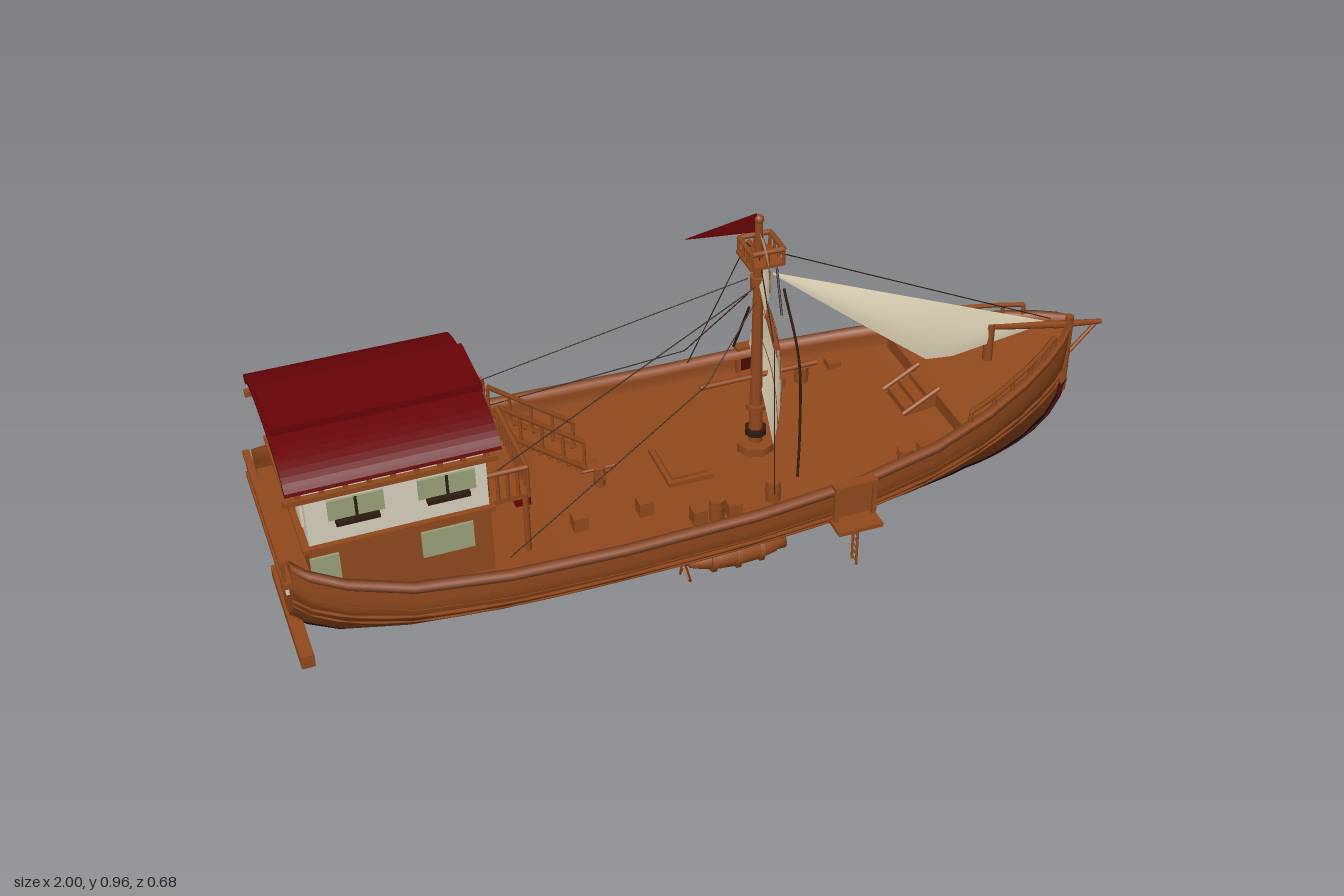
import * as THREE from 'three';

const mat = (name, color) => new THREE.MeshStandardMaterial({ name, color, side: THREE.DoubleSide });
const V = (x, y, z) => new THREE.Vector3(x, y, z);

// Hull stations: x, half width, keel height, rim height
const STATIONS = [
  [-0.98, 0.205, 0.2, 0.485], [-0.95, 0.23, 0.165, 0.47], [-0.88, 0.26, 0.13, 0.45], [-0.75, 0.29, 0.112, 0.425],
  [-0.55, 0.306, 0.103, 0.41], [-0.3, 0.308, 0.1, 0.402], [0, 0.3, 0.1, 0.4], [0.25, 0.284, 0.103, 0.41],
  [0.45, 0.25, 0.112, 0.425], [0.6, 0.205, 0.128, 0.445], [0.72, 0.153, 0.148, 0.465], [0.8, 0.108, 0.178, 0.48],
  [0.86, 0.066, 0.22, 0.492], [0.895, 0.033, 0.27, 0.5], [0.912, 0.006, 0.33, 0.505]];
// Cross-section from rim to keel: share of half width, share of height
const PROFILE = [[1, 1], [1, 0.88], [0.99, 0.77], [0.93, 0.7], [0.82, 0.58], [0.65, 0.41], [0.45, 0.25], [0.26, 0.125], [0.1, 0.03], [0, 0]];

function at(x) {
  let i = 0;
  while (i < STATIONS.length - 2 && STATIONS[i + 1][0] < x) i++;
  const a = STATIONS[i], b = STATIONS[i + 1];
  const t = THREE.MathUtils.clamp((x - a[0]) / (b[0] - a[0]), 0, 1);
  const [, w, k, r] = a.map((v, j) => v + (b[j] - v) * t);
  return { w, k, r };
}
// Half width of the hull at a given place and height
function hullZ(x, y) {
  const { w, k, r } = at(x), v = THREE.MathUtils.clamp((y - k) / (r - k), 0, 1);
  const i = PROFILE.findIndex((p, j) => j > 0 && p[1] <= v), [u0, v0] = PROFILE[i - 1], [u1, v1] = PROFILE[i];
  return w * (u1 + (u0 - u1) * (v - v1) / (v0 - v1));
}

// Surface through equal rows of points
function loft(rows) {
  const n = rows[0].length, index = [];
  for (let i = 0; i < rows.length - 1; i++) for (let j = 0; j < n - 1; j++) {
    const a = i * n + j, c = a + n;
    index.push(a, a + 1, c, a + 1, c + 1, c);
  }
  const g = new THREE.BufferGeometry().setFromPoints(rows.flat());
  g.setIndex(index);
  g.computeVertexNormals();
  return g;
}

export function createModel() {
  const wood = mat('brown wood', 0x92491d), red = mat('roof red', 0x690307), cream = mat('sail cream', 0xe3d7b9);
  const white = mat('plaster white', 0xdad3c0), glass = mat('window green', 0x9ca37c), dark = mat('dark brown', 0x2e1a10);
  const navy = mat('keel navy', 0x08081a), maroon = mat('dark red', 0x4c0a0c);
  const model = new THREE.Group();
  const add = (name, geo, m, parent = model) => {
    const o = new THREE.Mesh(geo, m);
    o.name = name;
    parent.add(o);
    return o;
  };
  const box = (name, m, x0, x1, y0, y1, z0, z1) => add(name, new THREE.BoxGeometry(x1 - x0, y1 - y0, z1 - z0), m)
    .position.set((x0 + x1) / 2, (y0 + y1) / 2, (z0 + z1) / 2);
  const rod = (name, m, a, b, r, r2 = r, p = model) => {
    const d = b.clone().sub(a), o = add(name, new THREE.CylinderGeometry(r2, r, d.length(), 8), m, p);
    o.position.copy(a).addScaledVector(d, 0.5);
    o.quaternion.setFromUnitVectors(V(0, 1, 0), d.normalize());
  };
  const tube = (name, m, pts, r, p) => add(name, new THREE.TubeGeometry(new THREE.CatmullRomCurve3(pts), 40, r, 5), m, p);

  // Hull, stern panel and decks
  const section = ([x, w, k, r]) => {
    const half = PROFILE.map(([u, v]) => V(x, k + v * (r - k), u * w));
    return [...half, ...half.slice(0, -1).reverse().map(p => V(p.x, p.y, -p.z))];
  };
  add('hull', loft(STATIONS.map(section)), wood);
  const stern = section(STATIONS[0]);
  add('sternPanel', loft([stern, stern.map(() => V(-0.98, 0.4, 0))]), wood);
  const deck = (x0, x1, drop) => {
    const xs = [x0, ...STATIONS.map(s => s[0]).filter(x => x > x0 && x < x1), x1];
    return loft(xs.map(x => { const { w, r } = at(x); return [V(x, r - drop, -w), V(x, r - drop, w)]; }));
  };
  add('mainDeck', deck(-0.98, 0.55, 0.06), wood);
  add('bowDeck', deck(0.55, 0.912, 0.025), wood);
  box('bowDeckStep', wood, 0.545, 0.555, 0.375, 0.413, -0.21, 0.21);
  for (const s of [1, -1]) {
    add('rimCap', loft(STATIONS.map(([x, w, , r]) => {
      const i = s * Math.max(0, w - 0.018), o = s * (w + 0.003);
      return [V(x, r - 0.015, i), V(x, r + 0.004, i), V(x, r + 0.004, o), V(x, r - 0.012, o), V(x, r - 0.015, i)];
    })), wood);
    for (const [y, rise, e] of [[0.33, 0.4, 0.005], [0.27, 0.7, 0.003]])
      tube('wale', wood, STATIONS.map(([x, , , r]) => { const h = y + rise * (r - 0.4); return V(x, h, s * hullZ(x, h)); }), e);
  }
  // Keel, stem and the dark bottom paint of the left side
  tube('keelStrip', maroon, STATIONS.map(([x, , k]) => V(x + 0.003, k, 0)), 0.011);
  add('bottomPaint', loft(STATIONS.map(([x, , k, r]) => {
    const top = 0.08 + 0.06 * THREE.MathUtils.smoothstep(x, -0.6, 0.7);
    return [1, 0.75, 0.5, 0.25, 0].map(f => {
      const y = k + f * top * (r - k);
      return V(x + 0.002, y - 0.004, hullZ(x, y) + 0.003);
    });
  })), navy);
  rod('stemPost', wood, V(0.913, 0.3, 0), V(0.913, 0.51, 0), 0.01);
  box('sternBoard', wood, -0.985, -0.955, 0.165, 0.198, -0.16, 0.16);
  rod('hawseHole', maroon, V(0.868, 0.37, -0.04), V(0.876, 0.371, -0.06), 0.009);

  // Stern gallery and windows
  box('sternGallery', wood, -1, -0.94, 0.425, 0.44, -0.2, 0.2);
  box('sternGalleryRail', wood, -1, -0.985, 0.485, 0.497, -0.2, 0.2);
  for (let i = 0; i <= 10; i++) box('galleryPost', wood, -0.997, -0.989, 0.44, 0.485, -0.196 + i * 0.038, -0.188 + i * 0.038);
  for (let i = 0; i < 5; i++) for (const y of [0.335, 0.373])
    box('sternWindow', white, -0.987, -0.98, y, y + 0.034, -0.112 + i * 0.046, -0.072 + i * 0.046);

  // Cabin
  box('lowerCabin', wood, -0.94, -0.56, 0.35, 0.515, -0.205, 0.205);
  box('upperCabin', white, -0.935, -0.56, 0.515, 0.67, -0.195, 0.195);
  box('cabinFloorBeam', wood, -0.95, -0.55, 0.508, 0.518, -0.208, 0.208);
  for (const s of [1, -1]) {
    const panel = (name, m, x0, x1, y0, y1, z, t = 0.006) => box(name, m, x0, x1, y0, y1, s * z - t / 2, s * z + t / 2);
    for (const [x0, x1] of [[-0.94, -0.88], [-0.71, -0.6]]) panel('lowerWindow', glass, x0, x1, 0.43, 0.495, 0.207);
    for (const [x0, x1] of [[-0.89, -0.775], [-0.705, -0.585]]) {
      const mid = (x0 + x1) / 2;
      panel('upperWindow', glass, x0, x1, 0.573, 0.622, 0.197);
      panel('windowBar', dark, mid - 0.003, mid + 0.003, 0.573, 0.622, 0.199);
      panel('flowerBox', dark, mid - 0.045, mid + 0.045, 0.564, 0.574, 0.204, 0.016);
    }
    box('eaveBeam', wood, -0.975, -0.535, 0.636, 0.648, s * 0.2 - 0.008, s * 0.2 + 0.008);
    for (let i = 0; i < 9; i++) box('eaveBlock', wood, -0.95 + i * 0.048, -0.94 + i * 0.048, 0.655, 0.67, s * 0.203 - 0.01, s * 0.203 + 0.01);
  }
  // Arched roof and gable ends
  const arch = (w, y, h) => Array.from({ length: 25 }, (_, i) => {
    const a = Math.PI * i / 24;
    return new THREE.Vector2(-w * Math.cos(a), y + h * Math.sin(a));
  });
  const along = (name, pts, m, x0, x1) => add(name, new THREE.ExtrudeGeometry(new THREE.Shape(pts), { depth: x1 - x0, bevelEnabled: false })
    .rotateY(Math.PI / 2).translate(x0, 0, 0), m);
  along('gable', arch(0.195, 0.665, 0.05), white, -0.935, -0.56);
  along('roof', [...arch(0.217, 0.668, 0.058), ...arch(0.2, 0.664, 0.045).reverse()], red, -0.97, -0.53);
  box('roofRidge', red, -0.965, -0.527, 0.718, 0.737, -0.08, 0.08);
  // Cabin ends: doors and windows
  box('cabinDoor', wood, -0.562, -0.555, 0.52, 0.635, -0.03, 0.04);
  box('lowerDoor', wood, -0.562, -0.552, 0.36, 0.49, 0.02, 0.08);
  for (const z of [-0.15, 0.08]) {
    box('frontWindowFrame', wood, -0.562, -0.556, 0.565, 0.628, z - 0.004, z + 0.064);
    box('frontWindow', glass, -0.558, -0.553, 0.57, 0.623, z, z + 0.06);
  }
  for (let i = 0; i < 5; i++) box('rearShutter', cream, -0.941, -0.933, 0.55, 0.632, -0.17 + i * 0.07, -0.11 + i * 0.07);

  // Balcony, railing and stairs
  box('balcony', wood, -0.56, -0.465, 0.49, 0.503, -0.17, 0.17);
  const rail = (name, a, b, n, h) => {
    const up = V(0, h, 0);
    rod(name, wood, a.clone().add(up), b.clone().add(up), 0.006);
    for (let i = 0; i <= n; i++) {
      const p = a.clone().lerp(b, i / n);
      rod(name + 'Post', wood, p, p.clone().add(up), 0.004);
    }
  };
  rail('balconyRail', V(-0.468, 0.5, -0.055), V(-0.468, 0.5, 0.168), 9, 0.07);
  for (const z of [-0.168, 0.168]) rail('balconySideRail', V(-0.555, 0.5, z), V(-0.468, 0.5, z), 4, 0.07);
  for (const z of [-0.165, 0.165]) rod('balconyLeg', wood, V(-0.475, 0.34, z), V(-0.475, 0.5, z), 0.007);
  for (const z of [-0.14, -0.06]) {
    rod('stairSide', wood, V(-0.465, 0.497, z), V(-0.27, 0.345, z), 0.007);
    rail('stairRail', V(-0.465, 0.497, z), V(-0.275, 0.35, z), 4, 0.07);
  }
  for (let i = 0; i < 9; i++) box('stairStep', wood, -0.465 + i * 0.0215, -0.44 + i * 0.0215, 0.476 - i * 0.0166, 0.482 - i * 0.0166, -0.14, -0.06);
  box('chest', red, -0.46, -0.425, 0.345, 0.37, -0.02, 0.02);

  // Bow stairs, rails and bowsprit
  for (let i = 0; i < 3; i++) box('bowStep', wood, 0.47 + i * 0.027, 0.5 + i * 0.027, 0.36, 0.385 + i * 0.014, -0.05, 0.05);
  for (const z of [-0.053, 0.053]) rod('bowStepSide', wood, V(0.46, 0.38, z), V(0.55, 0.43, z), 0.006);
  for (const s of [1, -1]) {
    const xs = [0.55, 0.62, 0.68, 0.74, 0.79, 0.83], top = xs.map(x => V(x, at(x).r + 0.03, s * (at(x).w - 0.012)));
    tube('bowRail', wood, top, 0.006);
    for (const p of top) rod('bowRailPost', wood, V(p.x, p.y - 0.03, p.z), p, 0.005);
  }
  rod('bowsprit', wood, V(0.69, 0.535, 0), V(0.9, 0.49, 0), 0.01, 0.009);
  rod('bowspritTip', wood, V(0.87, 0.495, 0), V(1, 0.474, 0), 0.01, 0.006);
  rod('bowspritBrace', wood, V(0.915, 0.4, 0), V(0.985, 0.472, 0), 0.005);
  rod('bowPost', wood, V(0.7, 0.44, 0), V(0.7, 0.54, 0), 0.012);

  // Side gates, platforms and ladders
  for (const s of [1, -1]) {
    const side = (name, m, x0, x1, y0, y1, a, b) => box(name, m, x0, x1, y0, y1, Math.min(s * a, s * b), Math.max(s * a, s * b));
    side('gate', s > 0 ? wood : maroon, 0.188, 0.272, 0.333, 0.415, 0.284, 0.293);
    for (const x of [0.18, 0.27]) side('gatePost', wood, x, x + 0.01, 0.325, 0.42, 0.275, 0.3);
    side('gateTop', wood, 0.18, 0.28, 0.412, 0.42, 0.275, 0.3);
    side('platform', wood, 0.175, 0.28, 0.318, 0.328, 0.265, 0.338);
    for (const z of [0.293, 0.316]) rod('ladderSide', wood, V(0.23, 0.207, s * z), V(0.23, 0.325, s * z), 0.003);
    for (let i = 0; i < 6; i++) rod('ladderRung', wood, V(0.23, 0.217 + i * 0.018, s * 0.293), V(0.23, 0.217 + i * 0.018, s * 0.316), 0.002);
  }

  // Mast, lookout and flag
  rod('mast', wood, V(0.115, 0.33, 0), V(0.115, 0.94, 0), 0.018, 0.009);
  for (const [y, r, h, m] of [[0.34, 0.045, 0.025, wood], [0.385, 0.026, 0.015, dark], [0.455, 0.024, 0.012, wood], [0.775, 0.019, 0.03, wood]])
    rod('mastRing', m, V(0.115, y, 0), V(0.115, y + h, 0), r);
  add('mastBall', new THREE.SphereGeometry(0.011, 12, 8), wood).position.set(0.115, 0.946, 0);
  box('lookoutFloor', wood, 0.08, 0.16, 0.846, 0.853, -0.042, 0.042);
  for (const z of [-0.038, 0.038]) rail('lookoutRail', V(0.085, 0.85, z), V(0.157, 0.85, z), 2, 0.035);
  for (const x of [0.085, 0.157]) rail('lookoutEndRail', V(x, 0.85, -0.038), V(x, 0.85, 0.038), 3, 0.035);
  add('flag', loft([[V(0.11, 0.915, 0), V(0.11, 0.962, 0)], [V(-0.055, 0.938, 0.01), V(-0.055, 0.94, 0.01)]]), red);

  // Square sails, turned with their yards
  const rig = new THREE.Group();
  rig.name = 'squareRig';
  rig.position.x = 0.115;
  rig.rotation.y = -0.25;
  model.add(rig);
  const sail = (name, x, y0, y1, w0, w1, bulge, bands) => {
    const p = (u, v) => V(x + bulge * Math.sin(Math.PI * v) * (1 - u * u * 0.6), y0 + (y1 - y0) * v + (1 - v) * 0.015 * (1 - u * u), u * (w0 + (w1 - w0) * v));
    const us = Array.from({ length: 17 }, (_, i) => i / 8 - 1);
    add(name, loft(Array.from({ length: 13 }, (_, i) => us.map(u => p(u, i / 12)))), cream, rig);
    for (const v of bands) tube(name + 'Band', wood, us.map(u => p(u, v)), 0.0015, rig);
  };
  sail('mainSail', 0.01, 0.495, 0.745, 0.195, 0.193, 0.035, [0.22, 0.45, 0.69, 0.91]);
  sail('topSail', 0, 0.775, 0.918, 0.109, 0.135, 0.018, [0.15, 0.45, 0.72]);
  rod('mainYard', wood, V(0.01, 0.76, -0.212), V(0.01, 0.76, 0.212), 0.007, 0.007, rig);
  rod('boom', wood, V(-0.02, 0.542, 0), V(0.26, 0.542, 0), 0.006);

  // Headsail: rows run from the luff to the slack edge
  const head = Array.from({ length: 13 }, (_, i) => {
    const t = i / 12, a = V(0.15 + 0.7 * t, 0.805 - 0.295 * t, 0);
    const c = t < 0.7 ? V(0.15, 0.8, 0).lerp(V(0.55, 0.475, 0), t / 0.7) : V(0.55, 0.475, 0).lerp(V(0.85, 0.505, 0), (t - 0.7) / 0.3);
    return Array.from({ length: 7 }, (_, j) => {
      const q = a.clone().lerp(c, j / 6);
      q.z = 0.018 * Math.sin(Math.PI * t) * Math.sin(Math.PI * j / 9);
      return q;
    });
  });
  add('headSail', loft(head), cream);

  // Rigging
  const rope = (a, b, r = 0.0013) => rod('rope', dark, a, b, r);
  rope(V(0.115, 0.875, 0), V(0.86, 0.515, 0));
  for (const s of [1, -1]) {
    const end = V(0.12 - s * 0.05, 0.76, s * 0.2);
    rope(end, V(0.115, 0.86, 0));
    rope(end, V(0.05, 0.42, s * 0.265));
    rope(V(0.1, 0.75, s * 0.02), V(-0.03, 0.6, s * 0.07));
    rope(V(-0.03, 0.6, s * 0.07), V(-0.54, 0.42, s * 0.26));
    rope(V(0.1, 0.79, s * 0.02), V(-0.55, 0.56, s * 0.16));
  }
  tube('sheet', dark, [V(0.15, 0.8, 0.06), V(0.15, 0.67, 0.15), V(0.13, 0.52, 0.21), V(0.11, 0.44, 0.25)], 0.003);
  rope(V(0.13, 0.86, 0.065), V(0.12, 0.775, 0.12), 0.0025);
  rope(V(0.17, 0.6, -0.18), V(0.16, 0.45, -0.25), 0.003);

  // Deck hatch, crates and barrels
  box('hatch', wood, -0.12, -0.012, 0.33, 0.352, -0.07, 0.07);
  box('hatchCover', wood, -0.109, -0.023, 0.35, 0.357, -0.059, 0.059);
  for (const [x, z] of [[0.25, -0.195], [-0.02, 0.205], [-0.1, 0.2], [-0.35, 0.13], [-0.2, 0.13], [-0.43, -0.17], [0.4, -0.21]])
    box('crate', wood, x - 0.016, x + 0.016, 0.335, 0.377, z - 0.016, z + 0.016);
  for (const [x, z] of [[0.31, -0.19], [0.21, -0.12], [0.4, 0.19], [0.45, 0.185], [0.08, 0.19], [-0.06, 0.205]]) {
    rod('barrel', wood, V(x, 0.34, z), V(x, 0.395, z), 0.018);
    rod('barrelHoop', wood, V(x, 0.375, z), V(x, 0.38, z), 0.0195);
  }
  rod('capstan', wood, V(-0.26, 0.34, 0), V(-0.26, 0.39, 0), 0.014);
  for (const [dx, dz] of [[0.04, 0], [0, 0.04]]) rod('capstanBar', wood, V(-0.26 - dx, 0.385, -dz), V(-0.26 + dx, 0.385, dz), 0.004);

  // Drive pod with bands and propeller
  const pod = [[0, -0.055], [0.014, -0.05], [0.024, -0.02], [0.033, 0.02], [0.036, 0.06], [0.034, 0.12], [0.026, 0.165], [0.022, 0.17], [0.022, 0.192], [0, 0.195]];
  add('pod', new THREE.LatheGeometry(pod.map(([r, y]) => new THREE.Vector2(r, y)), 12).rotateZ(-Math.PI / 2), wood).position.y = 0.046;
  for (const [x, r] of [[0, 0.037], [0.06, 0.041], [0.12, 0.038]]) rod('podBand', wood, V(x, 0.046, 0), V(x + 0.012, 0.046, 0), r);
  rod('podStrut', wood, V(0.06, 0.07, 0), V(0.06, 0.11, 0), 0.007);
  rod('propellerShaft', wood, V(-0.07, 0.046, 0), V(-0.04, 0.046, 0), 0.007);
  for (let i = 0; i < 4; i++) {
    const blade = add('propellerBlade', new THREE.BoxGeometry(0.005, 0.04, 0.022).rotateY(0.5).translate(0, 0.025, 0), wood);
    blade.position.set(-0.062, 0.046, 0);
    blade.rotation.x = 0.5 + i * Math.PI / 2;
  }
  return model;
}
